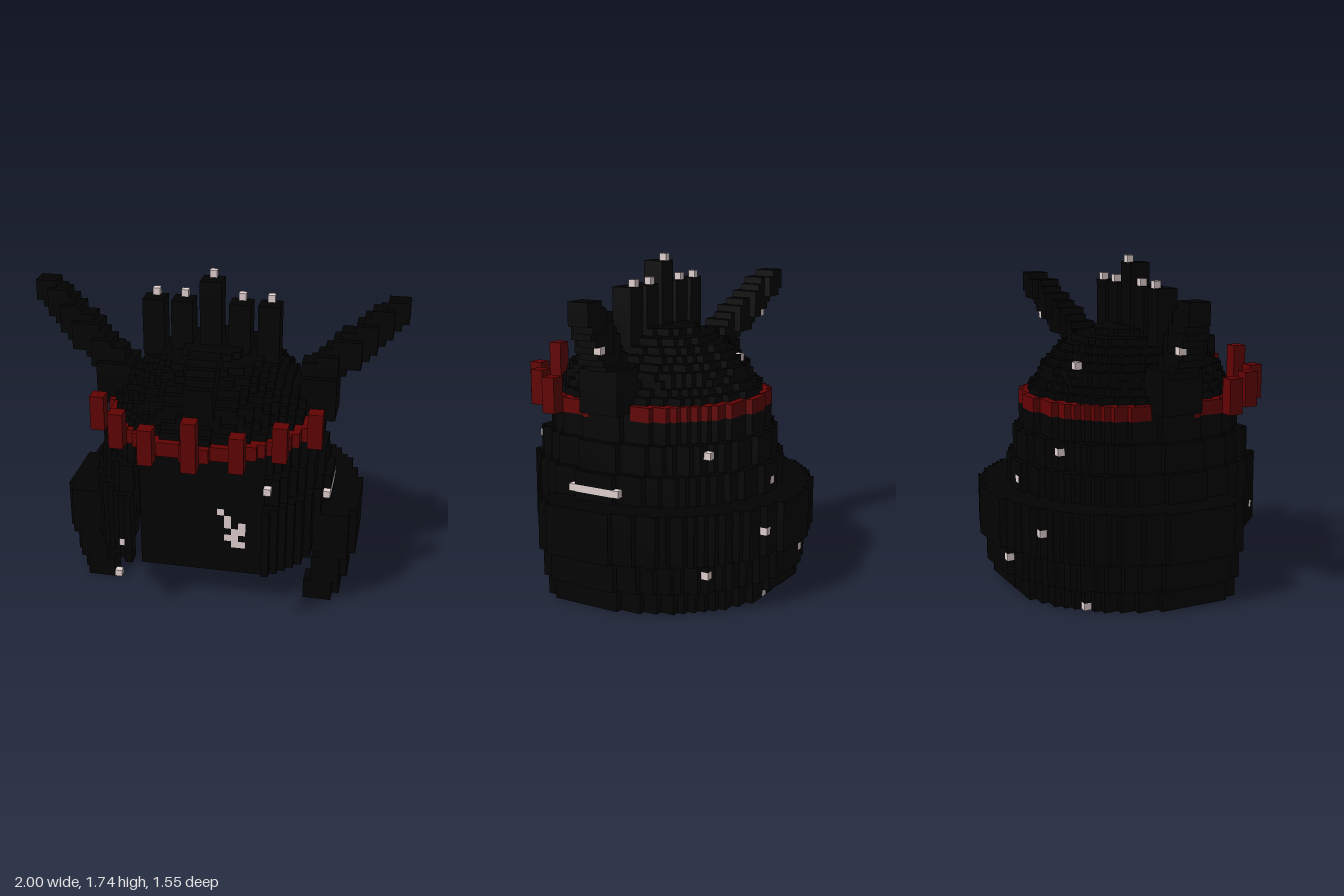
import * as THREE from 'three';

const S = 2 / 53; // edge of one cube
const C = 0.5;    // helmet axis, in cubes, for x and z

export function createModel() {
  const black = new THREE.MeshStandardMaterial({ color: 0x020202 });
  black.name = 'black iron';
  const red = new THREE.MeshStandardMaterial({ color: 0x620202 });
  red.name = 'dark red';
  const pale = new THREE.MeshStandardMaterial({ color: 0xe4d2d2 });
  pale.name = 'pale stud';

  // Cube grid: key -> part name
  const cells = new Map();
  const key = (x, y, z) => `${x},${y},${z}`;
  const put = (part, x, y, z) => cells.set(key(x, y, z), part);
  const block = (part, x0, x1, y0, y1, z0, z1) => {
    for (let x = x0; x <= x1; x++)
      for (let y = y0; y <= y1; y++)
        for (let z = z0; z <= z1; z++) put(part, x, y, z);
  };
  // One layer of a round wall whose front half sits two cubes forward;
  // keep(x, z, d) tells which cubes stay, d being the distance from the axis
  const ring = (part, y, outer, keep) => {
    for (let x = -22; x <= 23; x++)
      for (let z = -22; z <= 22; z++) {
        const d = Math.hypot(x - C, z - Math.min(Math.max(z, C), C + 2));
        if (d < outer && keep(x, z, d)) put(part, x, y, z);
      }
  };

  // Dome: stepped wall with a face opening, then a rounded crown
  const crown = [14, 13, 12.3, 12, 11, 10, 9, 7.5, 5];
  const domeR = (y) => (y < 18 ? 17 : y < 22 ? 16 : y < 27 ? 15 : crown[y - 27] ?? 0) - 0.35;
  for (let y = 8; y < 36; y++) {
    const inner = Math.min(domeR(y) - 1.1, domeR(y + 1));
    ring('dome', y, domeR(y), (x, z, d) => d >= inner && !(y < 25 && z > 5 && x > -9 && x < 10));
  }

  // Face plate set back inside the opening
  block('facePlate', -8, 9, 5, 29, 10, 11);

  // Neck guard: thick at the sides, thin behind, open at the front, closed by a ledge
  for (let y = 0; y < 14; y++) {
    const r = (y < 3 ? 19 : y < 7 ? 20 : 21) - 0.15;
    ring('neckGuard', y, r, (x, z, d) =>
      z <= 8 && (y > 0 || z >= -17) && d >= r - (y > 12 ? 4.5 : z > -6 ? 4 : 1.3));
  }

  // Forehead ridge: rounded outline from the brow to the crown
  [14, 14, 14, 13, 12, 11].forEach((front, i) =>
    block('foreheadRidge', -1, 2, 31 + i, 31 + i, i === 5 ? 9 : 8, front));

  // Horn sockets and horns
  block('hornSocket', 13, 17, 26, 31, -2, 3);
  block('hornSocket', -16, -12, 26, 31, -2, 3);
  for (const side of [-1, 1])
    for (let i = 0; i <= 40; i++) {
      const t = i / 40, r = 1.4 + 0.4 * (1 - t);
      const c = [side * (14 + 11 * t), 30.8 + 9.2 * t, 1 - 4 * t];
      const lo = c.map((v) => Math.ceil(v - r)), hi = c.map((v) => Math.floor(v + r));
      block('horn', lo[0], hi[0], lo[1], hi[1], lo[2], hi[2]);
    }

  // Crest of five square spikes with studs on top
  for (const x of [-8, -4, 0, 4, 8]) {
    const top = x === 0 ? 44 : 41;
    block('crestSpike', x - 1, x + 1, 34, top, 1, 3);
    put('stud', x, top + 1, 1);
  }

  // Red band in two arcs, broken at the horn sockets
  for (const y of [25, 26])
    ring('redBand', y, 14.65, (x, z, d) => d >= 13.55 && (z >= 4 || z <= -3));
  // Red crown points standing before the band: x, z, top
  for (const [x, z, top] of [[0, 19, 31], [6, 18, 29], [11, 14, 29], [15, 9, 29]]) {
    block('crownPoint', x, x + 1, 25, top, z, z + 1);
    block('crownPoint', -x, 1 - x, 25, top, z, z + 1);
  }

  // Studs on the back, set into the outermost cube
  for (const [x, y] of [[-7, 20], [0, 15], [7, 10], [-10, 10], [-3, 5], [-13, 0]])
    for (let z = -21; z < 0; z++)
      if (cells.has(key(x, y, z))) {
        put('stud', x, y, z);
        break;
      }
  // Studs on the dome, cheeks, guard ends and horns
  for (const [x, y, z] of [[10, 20, 15], [-10, 10, 15], [-4, 30, 11], [-4, 31, -9], [10, 20, -12],
    [-13, 0, 8], [22, 35, -3], [-22, 35, -3]]) put('stud', x, y, z);
  // Studs that pass through the thin back of the guard
  block('stud', 14, 14, 5, 5, -14, -13);
  block('stud', 4, 4, 0, 0, -17, -16);
  // Side slits and the jagged mark on the face plate
  block('sideSlit', 17, 17, 15, 15, -2, 5);
  block('sideSlit', -16, -16, 0, 0, -2, 5);
  for (const [x, y] of [[3, 14], [4, 13], [4, 12], [6, 12], [6, 11], [5, 11], [5, 10], [4, 10], [5, 9], [6, 9]])
    put('faceMark', x, y, 11);

  // Turn the exposed cube faces of each part into one mesh
  const faces = {};
  for (const [k, part] of cells) {
    const p = k.split(',').map(Number);
    const out = (faces[part] ??= { pos: [], nor: [] });
    for (let a = 0; a < 3; a++)
      for (const s of [-1, 1]) {
        const q = [...p];
        q[a] += s;
        if (cells.has(key(...q))) continue;
        const corner = (u, v) => {
          const c = [p[0], p[1] + 0.5, p[2]];
          c[a] += s / 2;
          c[(a + 1) % 3] += u / 2;
          c[(a + 2) % 3] += (v * s) / 2;
          return c.map((n) => n * S);
        };
        const n = [0, 0, 0];
        n[a] = s;
        for (const [u, v] of [[-1, -1], [1, -1], [1, 1], [-1, -1], [1, 1], [-1, 1]]) {
          out.pos.push(...corner(u, v));
          out.nor.push(...n);
        }
      }
  }
  const paint = { redBand: red, crownPoint: red, stud: pale, sideSlit: pale, faceMark: pale };
  const group = new THREE.Group();
  group.name = 'hornedHelmet';
  for (const [part, { pos, nor }] of Object.entries(faces)) {
    const g = new THREE.BufferGeometry();
    g.setAttribute('position', new THREE.Float32BufferAttribute(pos, 3));
    g.setAttribute('normal', new THREE.Float32BufferAttribute(nor, 3));
    const mesh = new THREE.Mesh(g, paint[part] ?? black);
    mesh.name = part;
    group.add(mesh);
  }
  return group;
}
